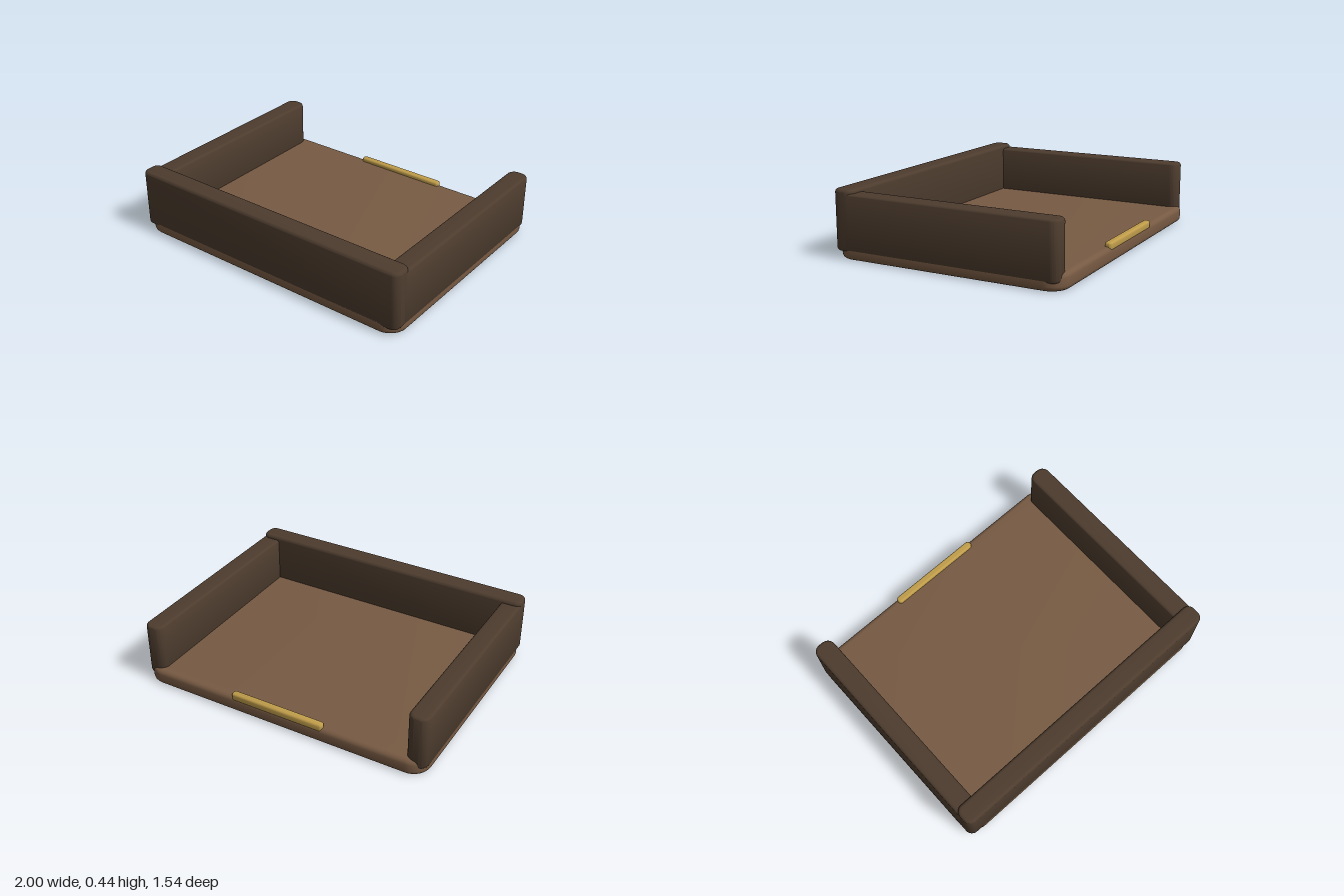
import * as THREE from 'three';
import { toCreasedNormals } from 'three/addons/utils/BufferGeometryUtils.js';

const flat = (name, color) => {
  const m = new THREE.MeshStandardMaterial({ color });
  m.name = name;
  return m;
};

// Upright slab with a rounded-rectangle plan and rounded top and bottom edges
function slab(name, material, [x0, x1], [y0, y1], [z0, z1], radius, bevel) {
  const w = (x1 - x0) / 2 - bevel, d = (z1 - z0) / 2 - bevel, r = radius - bevel;
  const s = new THREE.Shape();
  s.moveTo(-w + r, -d);
  s.lineTo(w - r, -d);
  s.absarc(w - r, -d + r, r, -Math.PI / 2, 0);
  s.lineTo(w, d - r);
  s.absarc(w - r, d - r, r, 0, Math.PI / 2);
  s.lineTo(-w + r, d);
  s.absarc(-w + r, d - r, r, Math.PI / 2, Math.PI);
  s.lineTo(-w, -d + r);
  s.absarc(-w + r, -d + r, r, Math.PI, Math.PI * 1.5);
  const geo = new THREE.ExtrudeGeometry(s, {
    depth: y1 - y0 - 2 * bevel, bevelEnabled: true, bevelSize: bevel,
    bevelThickness: bevel, bevelSegments: 4, curveSegments: 8,
  });
  geo.translate(0, 0, bevel);
  geo.rotateX(-Math.PI / 2);
  const mesh = new THREE.Mesh(toCreasedNormals(geo, 0.6), material);
  mesh.name = name;
  mesh.position.set((x0 + x1) / 2, y0, (z0 + z1) / 2);
  return mesh;
}

export function createModel() {
  const tan = flat('tan brown', 0x775a43);
  const dark = flat('dark brown', 0x4d3c2e);
  const gold = flat('brass', 0xc09d4a);

  const model = new THREE.Group();
  model.name = 'openTray';

  // Floor of the tray
  model.add(slab('base', tan, [-0.998, 0.998], [0, 0.105], [-0.77, 0.77], 0.12, 0.03));

  // Taller front wall, then the two side walls running to the open back
  model.add(slab('frontWall', dark, [-1, 1], [0.05, 0.435], [0.635, 0.77], 0.05, 0.02));
  model.add(slab('leftWall', dark, [0.865, 1], [0.05, 0.41], [-0.745, 0.72], 0.055, 0.02));
  model.add(slab('rightWall', dark, [-1, -0.865], [0.05, 0.41], [-0.745, 0.72], 0.055, 0.02));

  // Brass bar along the open back edge
  model.add(slab('backBar', gold, [-0.325, 0.325], [0.08, 0.132], [-0.77, -0.722], 0.022, 0.014));

  return model;
}
